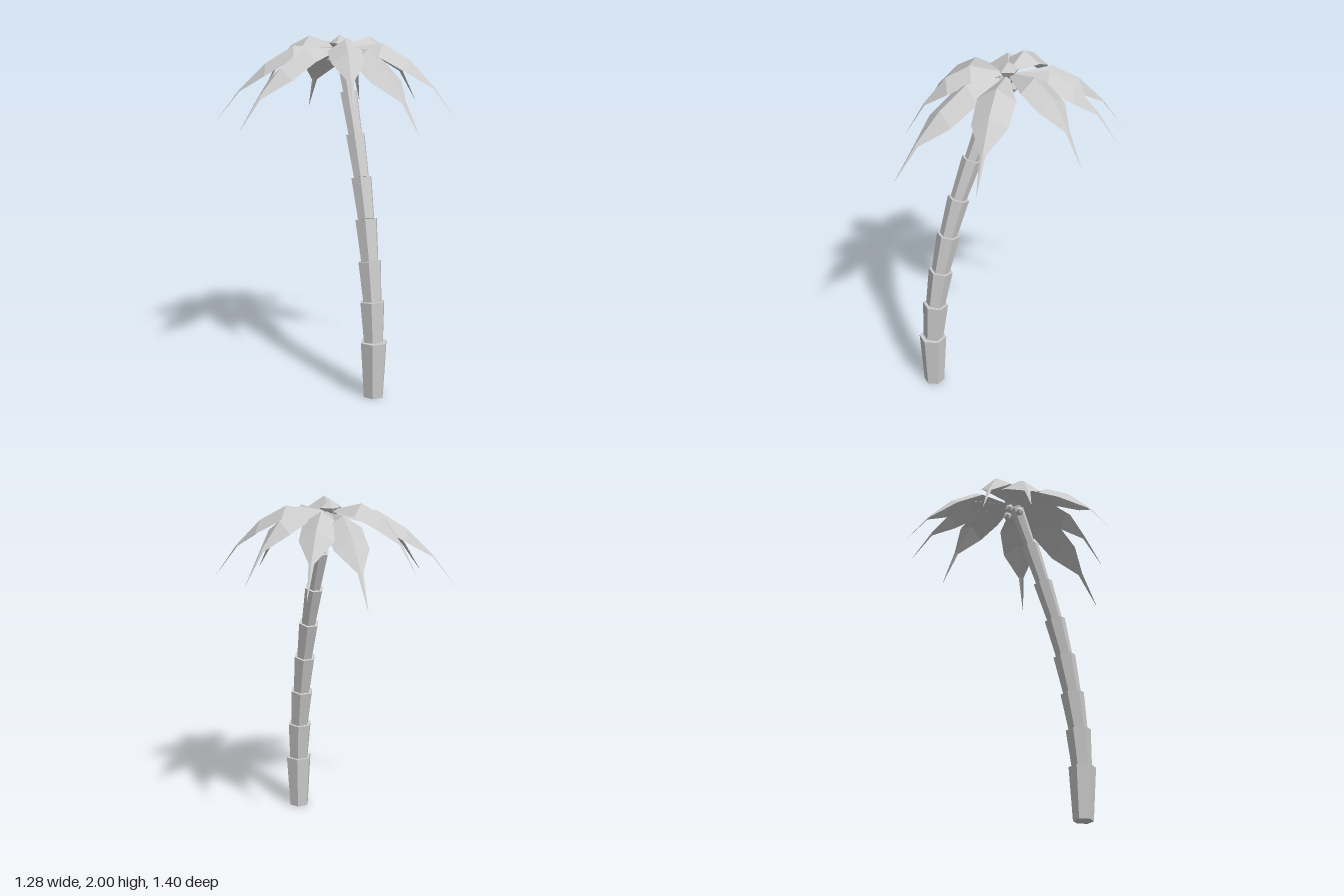
import * as THREE from 'three';

const material = new THREE.MeshStandardMaterial({ color: 0xcccccc, flatShading: true });
const leafMaterial = new THREE.MeshStandardMaterial({ color: 0xcccccc, flatShading: true, side: THREE.DoubleSide });
const crown = new THREE.Vector3(0.06, 0, -0.033);

function add(parent, name, geometry, mat = material) {
  const mesh = new THREE.Mesh(geometry, mat);
  mesh.name = name;
  parent.add(mesh);
  return mesh;
}

// Leaf folded along its midrib: rows of left edge, rib, right edge, running out to a thin tip
function frondGeometry(tipX, tipY, tipZ) {
  const dir = new THREE.Vector3(tipX - crown.x, 0, tipZ - crown.z);
  const length = dir.length();
  dir.normalize();
  const lift = tipY - 1.51;
  const size = 0.6 + 0.4 * (length / 0.71);
  // distance along leaf, rib height, share of lift, half width
  const rows = [
    [0.06, 1.925, 0.2, 0.022],
    [0.37, 1.94, 0.5, 0.108],
    [0.6, 1.84, 0.9, 0.1],
    [0.81, 1.69, 1, 0.016],
    [1, 1.51, 1, 0.001],
  ];
  const positions = [], index = [];
  rows.forEach(([t, y, share, half], i) => {
    for (const side of [-1, 0, 1]) {
      const w = side * half * size;
      positions.push(
        crown.x + dir.x * t * length - dir.z * w,
        y + share * lift - Math.abs(w) * 0.65,
        crown.z + dir.z * t * length + dir.x * w);
    }
    if (i === 0) return;
    for (let k = 0; k < 2; k++) {
      const a = (i - 1) * 3 + k, b = a + 3;
      index.push(a, a + 1, b, a + 1, b + 1, b);
    }
  });
  const geometry = new THREE.BufferGeometry();
  geometry.setAttribute('position', new THREE.Float32BufferAttribute(positions, 3));
  geometry.setIndex(index);
  geometry.computeVertexNormals();
  return geometry;
}

export function createModel() {
  const model = new THREE.Group();
  model.name = 'palmTree';

  // Curved trunk: stacked six-sided segments, each flaring towards its top
  const trunk = new THREE.Group();
  trunk.name = 'trunk';
  model.add(trunk);
  const joints = [
    [0.025, 0, 0.45], [0.025, 0.32, 0.442], [0.027, 0.547, 0.422], [0.03, 0.77, 0.384],
    [0.034, 1.0, 0.332], [0.039, 1.225, 0.266], [0.045, 1.455, 0.182], [0.051, 1.685, 0.09],
    [0.058, 1.92, -0.01],
  ].map((p) => new THREE.Vector3(...p));
  const topRadii = [0.08, 0.074, 0.07, 0.066, 0.062, 0.057, 0.052, 0.042];
  const up = new THREE.Vector3(0, 1, 0);
  topRadii.forEach((radius, i) => {
    const axis = joints[i + 1].clone().sub(joints[i]);
    const height = axis.length();
    const bottom = i === 0 ? 0.06 : radius * 0.8;
    const geometry = new THREE.CylinderGeometry(radius, bottom, height, 6);
    geometry.rotateY(Math.PI / 6 + Math.PI / 3 - 0.06);
    const segment = add(trunk, 'trunkSegment', geometry);
    segment.position.copy(joints[i]).add(joints[i + 1]).multiplyScalar(0.5);
    // the lowest segment stands flat on the ground
    if (i === 0) segment.position.setZ(0.445);
    else segment.quaternion.setFromUnitVectors(up, axis.normalize());
  });

  // Nine drooping fronds, given by their tips
  const fronds = new THREE.Group();
  fronds.name = 'fronds';
  model.add(fronds);
  const tips = [
    [0.19, 1.525, -0.7], [0.445, 1.565, -0.51], [0.635, 1.595, -0.16],
    [0.56, 1.54, 0.415], [0.155, 1.5, 0.695], [-0.135, 1.605, 0.497],
    [-0.64, 1.507, 0.13], [-0.57, 1.507, -0.37], [-0.25, 1.61, -0.47],
  ];
  for (const tip of tips) add(fronds, 'frond', frondGeometry(...tip), leafMaterial);

  // Pointed bud where the fronds meet
  const profile = [[0, 1.89], [0.045, 1.93], [0.062, 1.955], [0, 2]].map((p) => new THREE.Vector2(...p));
  const bud = add(model, 'crownBud', new THREE.LatheGeometry(profile, 5, 0.4));
  bud.position.copy(crown);

  // Coconuts hanging below the crown
  for (const [x, y, z] of [[0.005, 1.86, -0.03], [0.085, 1.855, -0.055], [0.045, 1.885, -0.07]]) {
    add(model, 'coconut', new THREE.IcosahedronGeometry(0.028, 0)).position.set(x, y, z);
  }
  return model;
}
